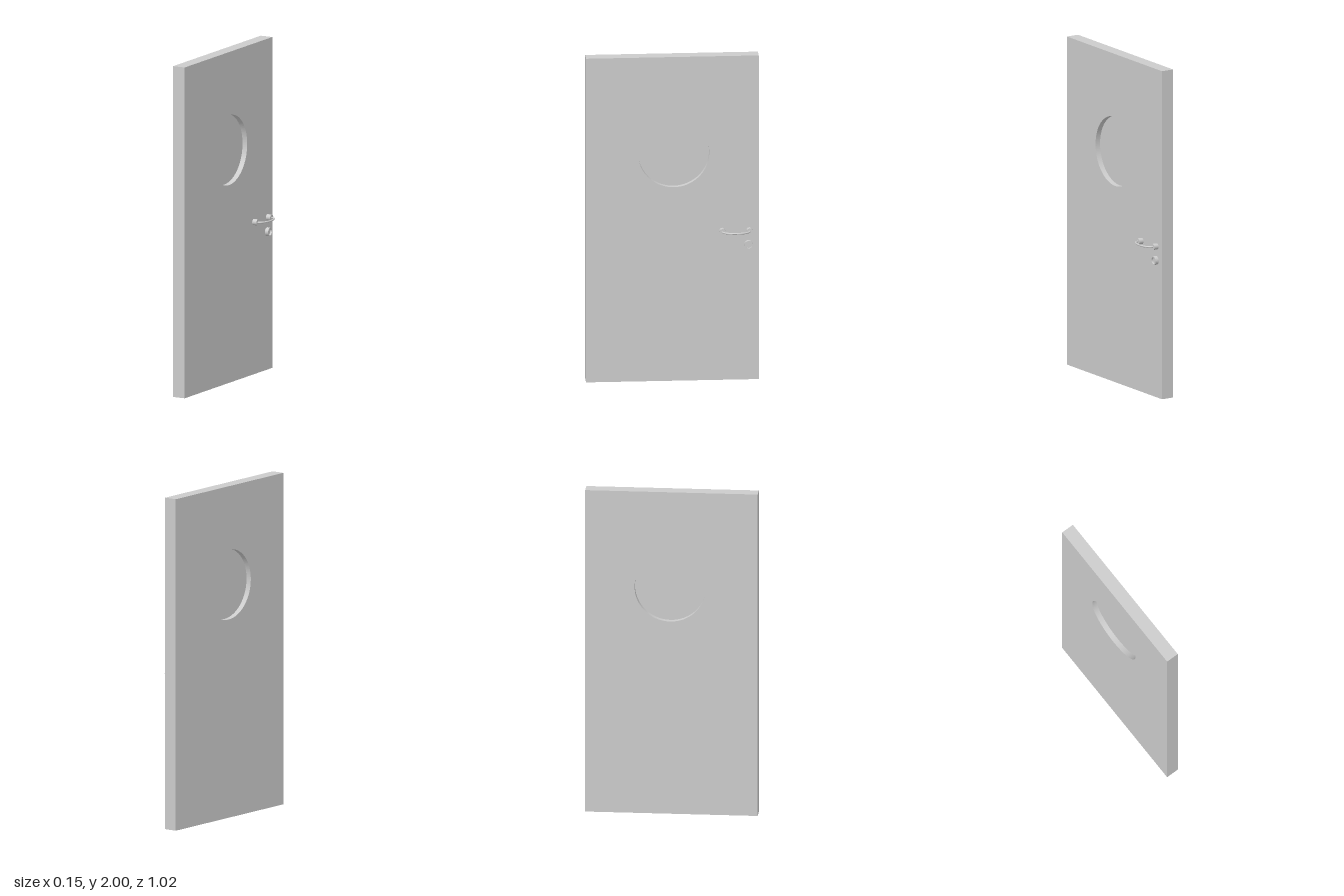
import * as THREE from 'three';

const material = new THREE.MeshStandardMaterial({ color: 0xcccccc });

function part(name, geometry, parent) {
  const mesh = new THREE.Mesh(geometry, material);
  mesh.name = name;
  parent.add(mesh);
  return mesh;
}

// Solid cylinder whose axis runs along x, from x0 to x1
function discX(name, radius, x0, x1, y, z, parent, segments = 32) {
  const geometry = new THREE.CylinderGeometry(radius, radius, x1 - x0, segments);
  geometry.rotateZ(-Math.PI / 2);
  const mesh = part(name, geometry, parent);
  mesh.position.set((x0 + x1) / 2, y, z);
  return mesh;
}

export function createModel() {
  const group = new THREE.Group();
  group.name = 'door';

  const thickness = 0.079, halfWidth = 0.512, height = 2;
  const windowY = 1.407, windowZ = -0.008, windowRadius = 0.211;

  // Door leaf with a round opening; shape x becomes -z, depth becomes x
  const leaf = new THREE.Shape([
    new THREE.Vector2(-halfWidth, 0),
    new THREE.Vector2(halfWidth, 0),
    new THREE.Vector2(halfWidth, height),
    new THREE.Vector2(-halfWidth, height),
  ]);
  const opening = new THREE.Path();
  opening.absarc(-windowZ, windowY, windowRadius, 0, Math.PI * 2, true);
  leaf.holes.push(opening);
  const leafGeometry = new THREE.ExtrudeGeometry(leaf, {
    depth: thickness, bevelEnabled: false, curveSegments: 64,
  });
  leafGeometry.rotateY(Math.PI / 2);
  leafGeometry.translate(-thickness, 0, 0);
  part('doorLeaf', leafGeometry, group);

  // Round pane recessed equally from both faces
  discX('windowPane', windowRadius, -0.047, -0.032, windowY, windowZ, group, 64);

  // Pull handle: two round mounts and a bowed bar
  const handle = new THREE.Group();
  handle.name = 'handle';
  group.add(handle);
  const handleY = 0.921, endZ = [-0.295, -0.456], reach = 0.041;
  for (const z of endZ) discX('handleMount', 0.0185, 0, 0.029, handleY, z, handle);

  const midZ = (endZ[0] + endZ[1]) / 2, halfSpan = (endZ[0] - endZ[1]) / 2;
  const points = [];
  for (let i = 0; i <= 16; i++) {
    const a = (i / 16) * Math.PI;
    points.push(new THREE.Vector3(
      0.029 + reach * Math.sin(a), handleY, midZ + halfSpan * Math.cos(a)));
  }
  const bow = new THREE.CatmullRomCurve3(points);
  part('handleBar', new THREE.TubeGeometry(bow, 48, 0.0055, 12), handle);

  // Lock collar with a recessed core
  const lock = new THREE.Group();
  lock.name = 'lock';
  lock.position.set(0, 0.835, -0.451);
  group.add(lock);
  const ring = new THREE.Shape();
  ring.absarc(0, 0, 0.026, 0, Math.PI * 2, false);
  const bore = new THREE.Path();
  bore.absarc(0, 0, 0.02, 0, Math.PI * 2, true);
  ring.holes.push(bore);
  const ringGeometry = new THREE.ExtrudeGeometry(ring, {
    depth: 0.022, bevelEnabled: false, curveSegments: 24,
  });
  ringGeometry.rotateY(Math.PI / 2);
  part('lockCollar', ringGeometry, lock);
  discX('lockCore', 0.02, 0, 0.01, 0, 0, lock);

  return group;
}
